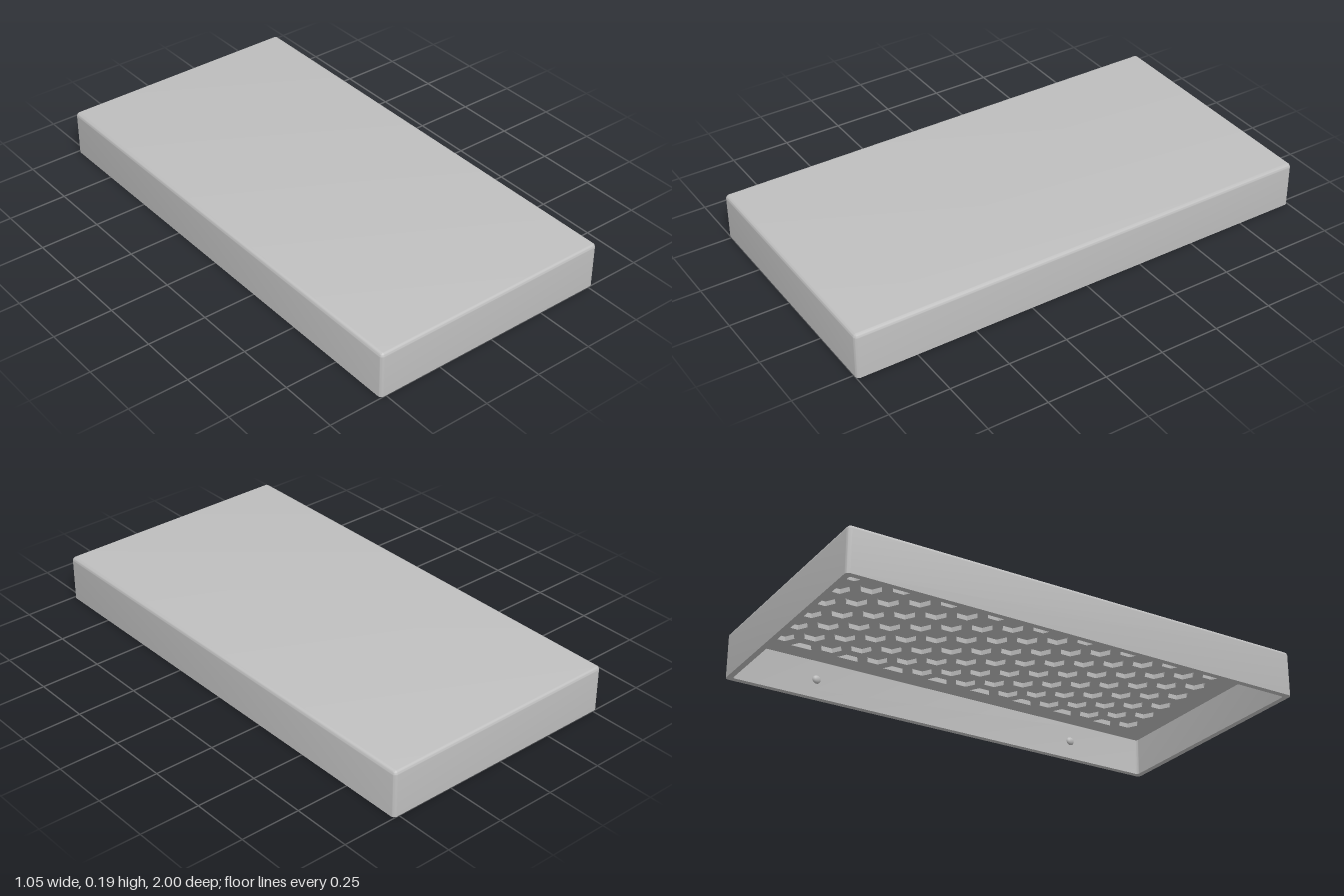
import * as THREE from 'three';
import { toCreasedNormals } from 'three/addons/utils/BufferGeometryUtils.js';

const HW = 0.525, HD = 1, H = 0.195; // half width, half depth, height
const WALL = 0.024, R = 0.016;       // wall thickness, edge radius
const CEILING = 0.162, POCKET = 0.02;

// Rounded rectangle outline at height y
function ring(hw, hd, r, y) {
  const pts = [], steps = 6;
  for (let c = 0; c < 4; c++) {
    const sx = c === 0 || c === 3 ? 1 : -1, sz = c < 2 ? 1 : -1;
    for (let i = 0; i <= steps; i++) {
      const a = (c + i / steps) * Math.PI / 2;
      pts.push([sx * (hw - r) + r * Math.cos(a), y, sz * (hd - r) + r * Math.sin(a)]);
    }
  }
  return pts;
}

// Skin a list of rings, closing the first and last with flat caps
function loft(rings) {
  const n = rings[0].length, pos = rings.flat(2), idx = [];
  rings.slice(1).forEach((_, k) => {
    for (let i = 0; i < n; i++) {
      const a = k * n + i, b = k * n + (i + 1) % n;
      idx.push(a, a + n, b, b, a + n, b + n);
    }
  });
  const last = (rings.length - 1) * n;
  for (let i = 1; i < n - 1; i++) {
    idx.push(0, i, i + 1);
    idx.push(last, last + i + 1, last + i);
  }
  const g = new THREE.BufferGeometry();
  g.setAttribute('position', new THREE.Float32BufferAttribute(pos, 3));
  g.setIndex(idx);
  return toCreasedNormals(g, 0.6);
}

export function createModel() {
  const group = new THREE.Group();
  group.name = 'lid';
  const grey = new THREE.MeshStandardMaterial({ color: 0xbfbfbf });
  grey.name = 'grey';
  const add = (name, geometry) => {
    const mesh = new THREE.Mesh(geometry, grey);
    mesh.name = name;
    group.add(mesh);
    return mesh;
  };

  // Hollow shell: inside ceiling, inner wall, rim, outer wall, rounded top edge
  const iw = HW - WALL, id = HD - WALL, ir = 0.012;
  const rings = [
    ring(iw, id, ir, CEILING + POCKET),
    ring(iw, id, ir, 0),
    ring(HW, HD, R, 0),
  ];
  for (let i = 0; i <= 6; i++) {
    const a = i / 6 * Math.PI / 2, inset = R * (1 - Math.cos(a));
    rings.push(ring(HW - inset, HD - inset, Math.max(R - inset, 0.0005), H - R + R * Math.sin(a)));
  }
  add('shell', loft(rings));

  // Ceiling plate with staggered hexagonal pockets
  const plate = new THREE.Shape(ring(iw, id, ir, 0).map(([x, , z]) => new THREE.Vector2(x, z)));
  const pitch = 0.12, hexR = 0.046, clip = 0.42;
  for (let row = -8; row <= 8; row++) {
    const odd = Math.abs(row) % 2;
    const count = odd ? 8 : 7;
    for (let col = 0; col < count; col++) {
      const cx = (col - (count - 1) / 2) * pitch, cz = row * pitch * 0.866;
      const hex = [];
      for (let k = 0; k < 6; k++) {
        const a = Math.PI / 6 + k * Math.PI / 3;
        const x = THREE.MathUtils.clamp(cx + hexR * Math.cos(a), -clip, clip);
        hex.push(new THREE.Vector2(x, cz + hexR * Math.sin(a)));
      }
      plate.holes.push(new THREE.Path(hex));
    }
  }
  const plateGeo = new THREE.ExtrudeGeometry(plate, { depth: POCKET, bevelEnabled: false });
  plateGeo.rotateX(Math.PI / 2);
  add('pocketPlate', plateGeo).position.y = CEILING + POCKET;

  // Small snap bumps on the inner long walls
  for (const sx of [-1, 1]) {
    for (const sz of [-1, 1]) {
      const bump = add('snapBump', new THREE.SphereGeometry(0.018, 20, 14));
      bump.position.set(sx * iw, 0.08, sz * 0.615);
      bump.scale.x = 0.6;
    }
  }
  return group;
}
